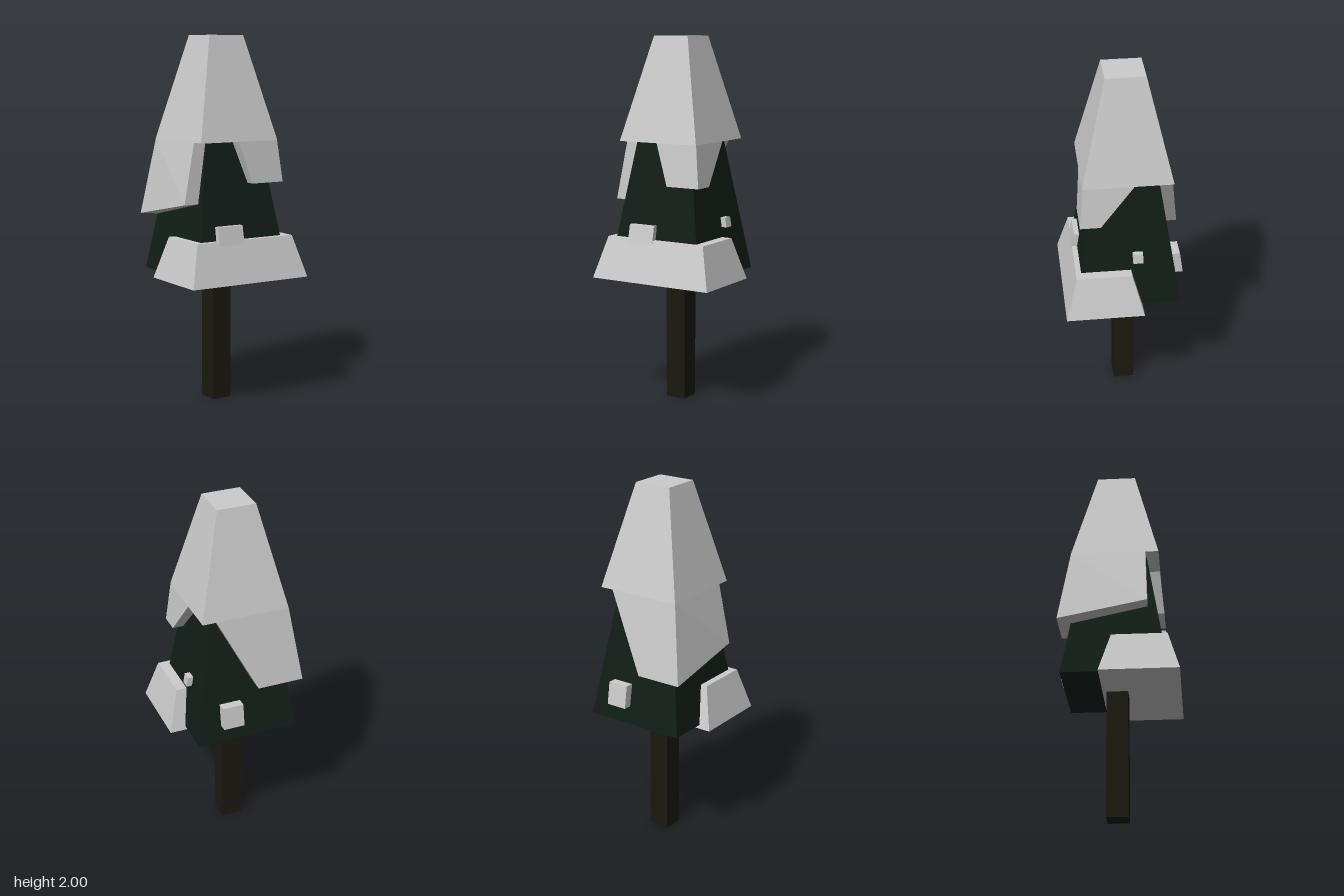
import * as THREE from 'three';
import { ConvexGeometry } from 'three/addons/geometries/ConvexGeometry.js';

const CX = -0.01, CZ = -0.015;
const snow = new THREE.MeshStandardMaterial({ color: 0xcccccc, flatShading: true });
const green = new THREE.MeshStandardMaterial({ color: 0x121e18, flatShading: true });
const bark = new THREE.MeshStandardMaterial({ color: 0x1a1910, flatShading: true });

// Half width of the tapered foliage at height y
const foliageHalf = (y) => 0.285 - (0.115 / 0.725) * (y - 0.715);

// Box whose bottom and top rectangles [x0, x1, z0, z1] are set independently
function taperedBox(y0, bottom, y1, top) {
  const geo = new THREE.BoxGeometry(1, 1, 1);
  const p = geo.attributes.position;
  for (let i = 0; i < p.count; i++) {
    const up = p.getY(i) > 0;
    const r = up ? top : bottom;
    p.setXYZ(i, r[p.getX(i) > 0 ? 1 : 0], up ? y1 : y0, r[p.getZ(i) > 0 ? 3 : 2]);
  }
  geo.computeVertexNormals();
  return geo;
}

const square = (cx, cz, h) => [cx - h, cx + h, cz - h, cz + h];

// Slab of snow between an outer outline and the foliage behind it
function snowSlab(outline) {
  const points = [];
  for (const [x, y, z] of outline) {
    const h = foliageHalf(y) - 0.003;
    points.push(
      new THREE.Vector3(x, y, z),
      new THREE.Vector3(
        THREE.MathUtils.clamp(x, CX - h, CX + h), y,
        THREE.MathUtils.clamp(z, CZ - h, CZ + h)));
  }
  return new ConvexGeometry(points);
}

export function createModel() {
  const tree = new THREE.Group();
  tree.name = 'snowyTree';
  const add = (name, geo, mat) => {
    const mesh = new THREE.Mesh(geo, mat);
    mesh.name = name;
    tree.add(mesh);
  };

  // Trunk and foliage
  const trunk = square(CX, CZ, 0.058);
  add('trunk', taperedBox(0, trunk, 0.73, trunk), bark);
  add('foliage', taperedBox(
    0.715, square(CX, CZ, foliageHalf(0.715)),
    1.46, square(CX, CZ, foliageHalf(1.46))), green);

  // Snow cap on the top
  add('snowCap', taperedBox(
    1.44, square(CX, -0.0175, 0.24), 2, square(CX, -0.0175, 0.106)), snow);

  // Snow hanging down over two opposite corners
  add('frontSnowDrip', snowSlab([
    [-0.015, 1.44, 0.22], [0.23, 1.44, 0.22],
    [0.255, 1.215, 0.24], [0.06, 1.215, 0.24]]), snow);
  add('leftSnowDrip', snowSlab([
    [0.23, 1.44, -0.05], [0.23, 1.44, 0.22],
    [0.255, 1.215, 0.24], [0.255, 1.215, 0.13]]), snow);
  add('backSnowDrip', snowSlab([
    [-0.25, 1.44, -0.257], [0.155, 1.44, -0.257],
    [-0.06, 1.02, -0.32], [-0.315, 1.02, -0.32]]), snow);
  add('rightSnowDrip', snowSlab([
    [-0.25, 1.44, -0.257], [-0.25, 1.44, 0.15],
    [-0.315, 1.115, 0.16], [-0.315, 1.02, -0.32]]), snow);

  // Snow bank wrapped round the front of the lowest branches
  add('snowBank', taperedBox(
    0.695, [-0.362, 0.362, -0.095, 0.328],
    0.922, [-0.3, 0.3, -0.032, 0.266]), snow);

  // Small clumps of snow, tilted with the foliage
  add('frontSnowClump', taperedBox(
    0.9, [-0.167, -0.012, 0.2, 0.273],
    0.998, [-0.167, -0.012, 0.2, 0.253]), snow);
  add('backSnowClump', taperedBox(
    0.812, [0.025, 0.142, -0.331, -0.25],
    0.935, [0.025, 0.142, -0.313, -0.25]), snow);
  add('leftSnowClump', taperedBox(
    0.975, [0.21, 0.264, -0.095, -0.042],
    1.027, [0.21, 0.255, -0.095, -0.042]), snow);

  return tree;
}
